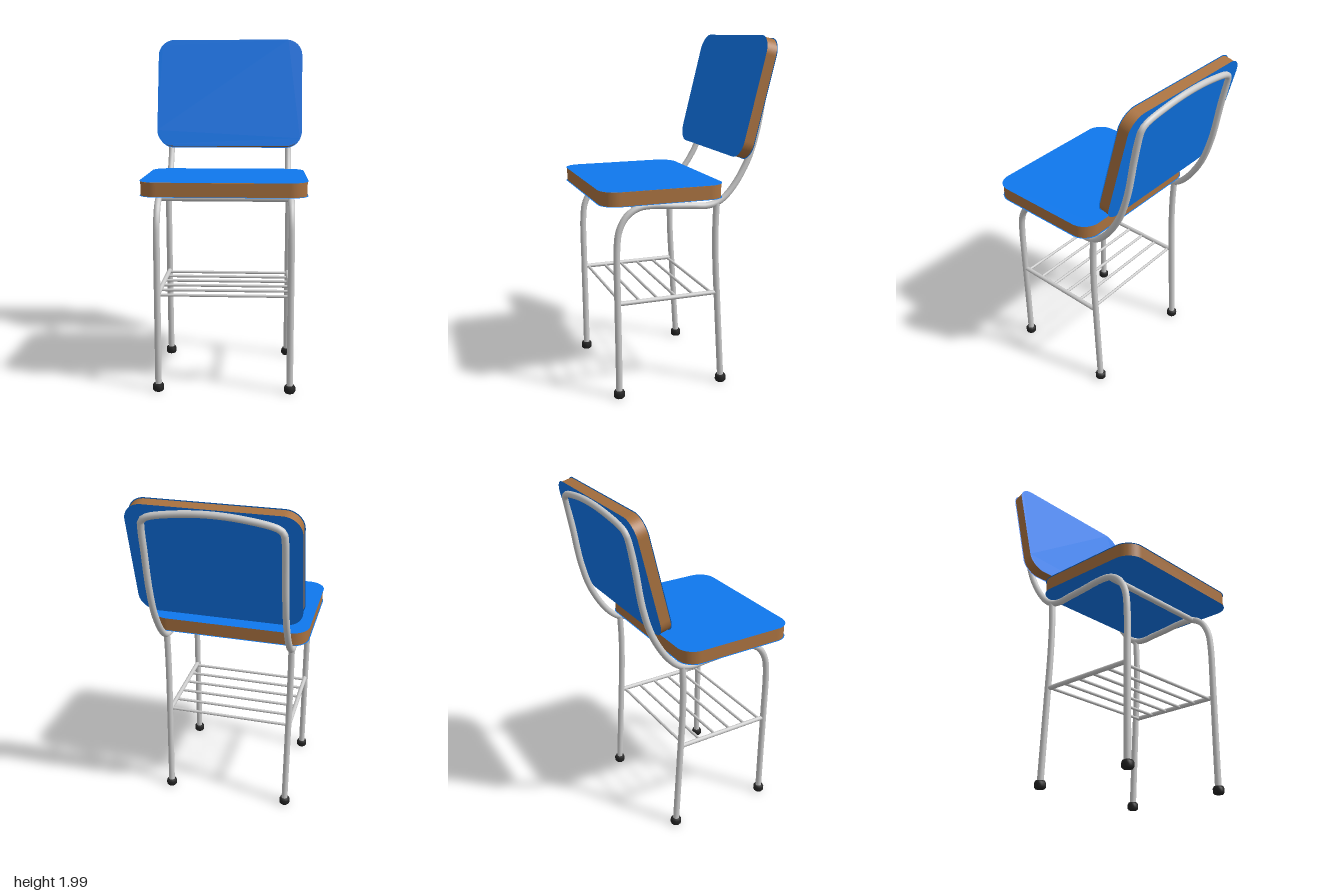
import * as THREE from 'three';

const metal = new THREE.MeshStandardMaterial({ color: 0xcccccc });
const blue = new THREE.MeshStandardMaterial({ color: 0x0f78ee, side: THREE.DoubleSide });
const wood = new THREE.MeshStandardMaterial({ color: 0xa8713f });
const rubber = new THREE.MeshStandardMaterial({ color: 0x222222 });

function add(parent, name, geometry, material) {
  const mesh = new THREE.Mesh(geometry, material);
  mesh.name = name;
  parent.add(mesh);
  return mesh;
}

function tube(points, radius, segments) {
  const curve = new THREE.CatmullRomCurve3(points.map(p => new THREE.Vector3(...p)));
  return new THREE.TubeGeometry(curve, segments, radius, 14);
}

// Straight round bar along x or z
function bar(parent, name, axis, length, radius, x, y, z) {
  const geometry = new THREE.CylinderGeometry(radius, radius, length, 12);
  if (axis === 'x') geometry.rotateZ(Math.PI / 2);
  else geometry.rotateX(Math.PI / 2);
  add(parent, name, geometry, metal).position.set(x, y, z);
}

function roundedRect(w, h, r) {
  const x = w / 2, y = h / 2;
  const s = new THREE.Shape();
  s.moveTo(-x + r, -y);
  s.lineTo(x - r, -y);
  s.absarc(x - r, -y + r, r, -Math.PI / 2, 0);
  s.lineTo(x, y - r);
  s.absarc(x - r, y - r, r, 0, Math.PI / 2);
  s.lineTo(-x + r, y);
  s.absarc(-x + r, y - r, r, Math.PI / 2, Math.PI);
  s.lineTo(-x, -y + r);
  s.absarc(-x + r, -y + r, r, Math.PI, Math.PI * 1.5);
  return s;
}

// Wooden board with a blue sheet on both faces, facing +z
function board(name, w, h, t) {
  const group = new THREE.Group();
  group.name = name;
  const core = new THREE.ExtrudeGeometry(roundedRect(w - 0.01, h - 0.01, 0.095),
    { depth: t, bevelEnabled: false, curveSegments: 12 });
  add(group, name + 'Wood', core.translate(0, 0, -t / 2), wood);
  for (const [side, s] of [['Front', 1], ['Back', -1]]) {
    const sheet = new THREE.ShapeGeometry(roundedRect(w, h, 0.1), 12);
    if (s < 0) sheet.rotateY(Math.PI);
    add(group, name + side + 'Sheet', sheet, blue).position.z = s * (t / 2 + 0.002);
  }
  return group;
}

export function createModel() {
  const chair = new THREE.Group();
  chair.name = 'chair';

  // Seat and backrest boards
  const seat = board('seat', 0.914, 0.71, 0.076);
  seat.rotation.x = -Math.PI / 2;
  seat.position.set(0, 1.158, 0.157);
  const backrest = board('backrest', 0.908, 0.68, 0.06);
  backrest.rotation.x = -THREE.MathUtils.degToRad(14);
  backrest.position.set(0, 1.654, -0.382);
  chair.add(seat, backrest);

  // One continuous tube: front leg, seat rail, back upright, bowed top, mirrored
  const half = [
    [0.37, 0.02, 0.41], [0.37, 0.3, 0.411], [0.37, 0.6, 0.413], [0.37, 0.88, 0.412],
    [0.37, 0.97, 0.398], [0.37, 1.045, 0.355], [0.37, 1.085, 0.29], [0.37, 1.093, 0.21],
    [0.37, 1.082, 0.08], [0.37, 1.075, -0.02], [0.37, 1.068, -0.11], [0.37, 1.088, -0.185],
    [0.37, 1.155, -0.26], [0.37, 1.31, -0.354], [0.37, 1.48, -0.408], [0.37, 1.7, -0.446],
    [0.368, 1.85, -0.474], [0.362, 1.885, -0.482], [0.335, 1.908, -0.486],
    [0.18, 1.94, -0.494],
  ];
  const mirrored = half.map(([x, y, z]) => [-x, y, z]).reverse();
  add(chair, 'mainFrame', tube([...half, [0, 1.952, -0.497], ...mirrored], 0.0185, 220), metal);

  // Rear legs, shelf side rails and feet
  for (const [side, s] of [['left', 1], ['right', -1]]) {
    const x = 0.37 * s;
    add(chair, side + 'RearLeg', tube([
      [x, 1.08, -0.17], [x, 0.95, -0.165], [x, 0.75, -0.168],
      [x, 0.5, -0.182], [x, 0.02, -0.21]], 0.0185, 30), metal);
    bar(chair, side + 'ShelfRail', 'z', 0.59, 0.013, x, 0.555, 0.117);
    for (const [end, z] of [['Front', 0.411], ['Rear', -0.21]]) {
      const profile = [[0, 0], [0.025, 0], [0.032, 0.009], [0.032, 0.032], [0.026, 0.043], [0, 0.043]]
        .map(p => new THREE.Vector2(...p));
      const foot = new THREE.LatheGeometry(profile, 12);
      add(chair, side + end + 'Foot', foot, rubber).position.set(x, 0, z);
    }
  }

  // Cross bar under the seat
  bar(chair, 'seatCrossBar', 'x', 0.74, 0.0175, 0, 1.083, 0.29);

  // Shelf rods
  const rods = 6;
  for (let i = 0; i < rods; i++) {
    bar(chair, 'shelfRod' + (i + 1), 'x', 0.74, 0.0085, 0, 0.55, 0.385 - i * 0.535 / (rods - 1));
  }
  return chair;
}
